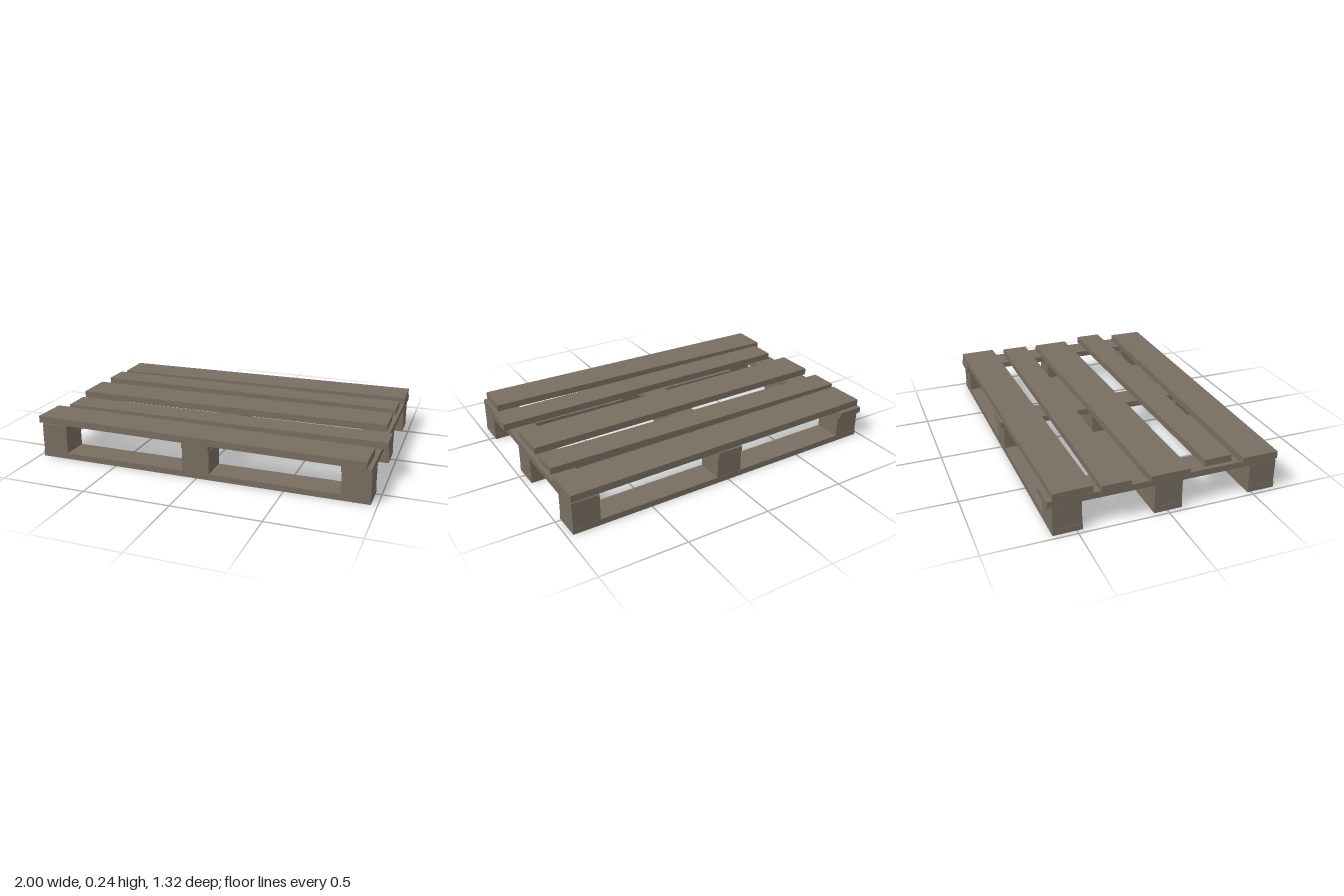
import * as THREE from 'three';

export function createModel() {
  const pallet = new THREE.Group();
  pallet.name = 'pallet';
  const wood = new THREE.MeshStandardMaterial({ color: 0x786e60 });
  wood.name = 'weatheredWood';

  // Box standing on y = bottom, turned slightly about the vertical
  function plank(name, [w, h, d], x, bottom, z, turn = 0) {
    const mesh = new THREE.Mesh(new THREE.BoxGeometry(w, h, d), wood);
    mesh.name = name;
    mesh.position.set(x, bottom + h / 2, z);
    mesh.rotation.y = turn;
    pallet.add(mesh);
  }

  // Deck boards, back to front: x, z, width, turn
  [
    [0, -0.532, 0.213, 0.0165],
    [-0.02, -0.29, 0.16, -0.003],
    [-0.025, -0.01, 0.223, 0.0129],
    [0.025, 0.292, 0.158, 0.009],
    [-0.03, 0.539, 0.207, -0.0185],
  ].forEach(([x, z, w, turn], i) => plank(`deckBoard${i + 1}`, [1.94, 0.04, w], x, 0.2, z, turn));

  // Cross boards under the deck: x, z, length, turn
  [
    [-0.892, -0.007, 1.29, 0],
    [-0.004, -0.005, 1.29, -0.007],
    [0.888, -0.005, 1.312, -0.007],
  ].forEach(([x, z, len, turn], i) => plank(`crossBoard${i + 1}`, [0.157, 0.035, len], x, 0.165, z, turn));

  // Bottom runners, each carrying three blocks: z, turn
  [
    [-0.558, 0.01],
    [-0.005, 0.01],
    [0.561, 0],
  ].forEach(([z, turn], i) => {
    plank(`runner${i + 1}`, [1.94, 0.035, 0.16], -0.004, 0, z, turn);
    [-0.893, -0.004, 0.886].forEach((x, j) =>
      plank(`block${i + 1}${j + 1}`, [0.157, 0.13, 0.157], x, 0.035, z - x * turn, turn));
  });

  return pallet;
}
